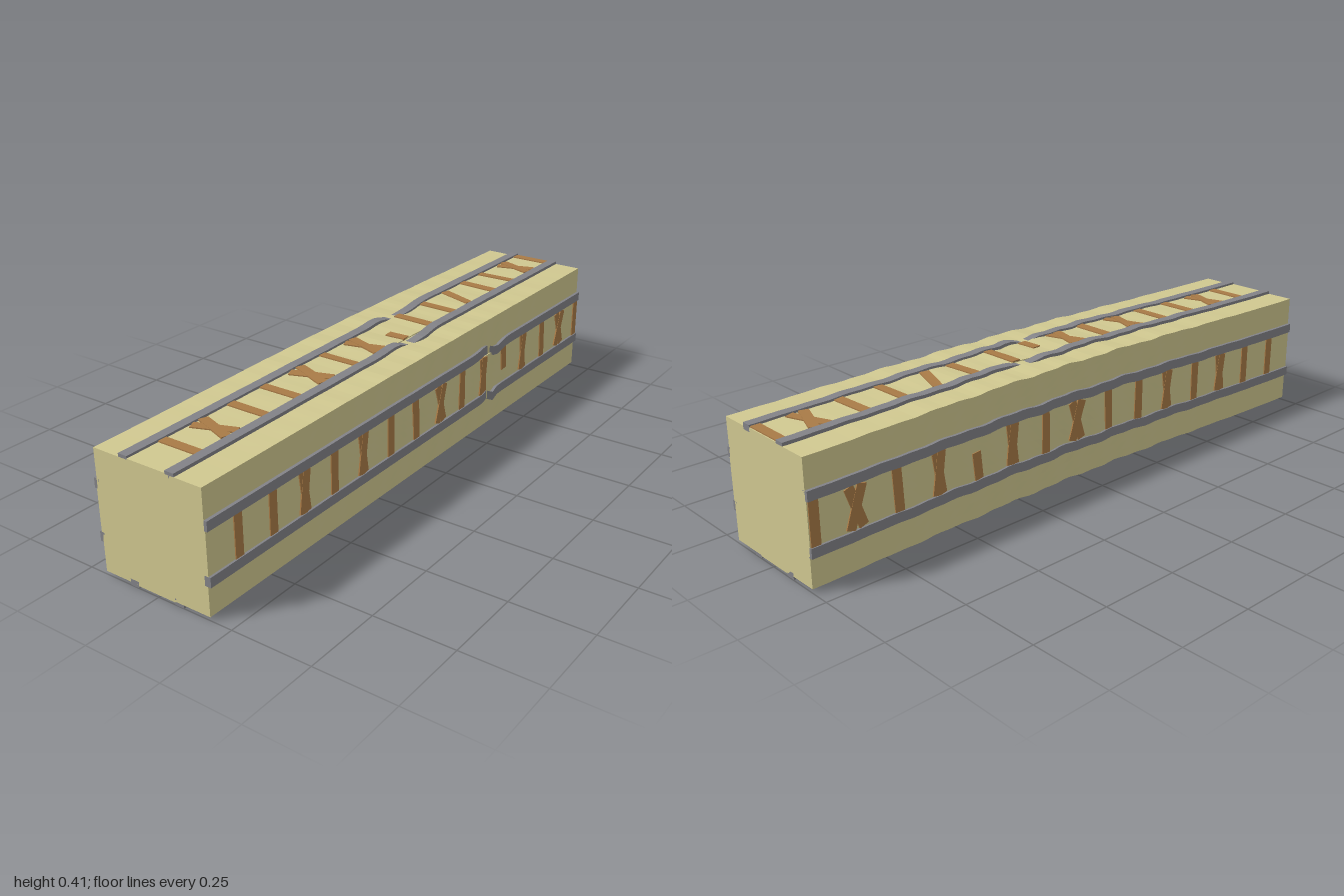
import * as THREE from 'three';

const CX = -0.005, CY = 0.195, HALF = 0.185;
const mat = (color) => new THREE.MeshStandardMaterial({ color, flatShading: true, side: THREE.DoubleSide });
const bump = (z, c, w) => Math.exp(-(((z - c) / w) ** 2));

// Move every vertex of a geometry by a rule
function deform(geo, rule) {
  const p = geo.attributes.position, v = new THREE.Vector3();
  for (let i = 0; i < p.count; i++) {
    rule(v.fromBufferAttribute(p, i));
    p.setXYZ(i, v.x, v.y, v.z);
  }
  geo.computeVertexNormals();
  return geo;
}

// Heave of the whole beam: straight at the ends, crumpled around the middle
function heave(v) {
  const w = Math.max(0, Math.cos((v.z + 0.08) * 1.5)) ** 1.5;
  const ripple = 0.0015 * Math.sin(v.z * 27 + v.x * 12) + 0.0012 * Math.sin(v.z * 61 + v.y * 17);
  v.x += w * (0.008 + ripple);
  v.y += w * (0.013 - 0.018 * v.x + ripple);
}

// Tie layout along z: [z, tilt, crossed, start, end]; start and end are across the track
const flatTies = [
  [-0.982, 0], [-0.86, 0.35, true], [-0.72, 0.04], [-0.59, 0], [-0.45, -0.35], [-0.33, 0.04],
  [-0.18, 0], [-0.04, 0.06, false, 0, 0.065], [0.085, 0.3, true], [0.21, 0], [0.345, 0.35, true],
  [0.48, 0], [0.615, 0], [0.75, 0.35, true], [0.875, 0],
];
const sideTies = [
  [-0.982, 0], [-0.855, 0.33, true], [-0.72, 0.05], [-0.58, 0.15, true], [-0.445, 0.1, false, -0.065, 0.02],
  [-0.31, 0.12, true], [-0.18, 0], [-0.05, 0.3, true], [0.086, 0.05], [0.22, 0], [0.355, 0.15, true],
  [0.49, 0], [0.62, 0.14, true], [0.75, 0], [0.885, 0],
];

// Four faces: rotation about z, ties, and broken spots of each rail
const faces = [
  { name: 'top', turn: 0, ties: flatTies, breaks: [[-0.17, 0.07], [-0.02, 0.06]] },
  { name: 'left', turn: -Math.PI / 2, ties: sideTies, breaks: [[-0.35, 0.04], [-0.35, 0.02]] },
  { name: 'bottom', turn: Math.PI, ties: flatTies, breaks: [null, null] },
  { name: 'right', turn: Math.PI / 2, ties: sideTies, breaks: [null, null] },
];

export function createModel() {
  const group = new THREE.Group();
  const sand = mat(0xd0c890), steel = mat(0x828287), wood = mat(0xa87a46);

  // Beam of ground
  const beam = new THREE.BoxGeometry(HALF * 2, HALF * 2, 2, 14, 14, 80).translate(CX, CY, 0);
  const body = new THREE.Mesh(deform(beam, heave), sand);
  body.name = 'beam';
  group.add(body);

  for (const face of faces) {
    const track = new THREE.Group();
    track.name = face.name + 'Track';
    // Place a part built on the face plane, then apply the heave
    const add = (geo, material, name) => {
      geo.translate(0, HALF, 0).rotateZ(face.turn).translate(CX, CY, 0);
      const mesh = new THREE.Mesh(deform(geo, heave), material);
      mesh.name = name;
      track.add(mesh);
    };

    // Thin bed between the rails
    add(new THREE.BoxGeometry(0.13, 0.006, 2, 5, 1, 80), sand, 'trackBed');

    // Rails, bent sideways and buried where the ground has broken
    [-1, 1].forEach((side, i) => {
      const rail = new THREE.BoxGeometry(0.03, 0.02, 2, 1, 1, 80).translate(side * 0.08, 0, 0);
      const spot = face.breaks[i];
      if (spot) deform(rail, (v) => {
        v.x += 0.014 * bump(v.z, spot[0] - spot[1], spot[1]) - 0.008 * bump(v.z, spot[0] + spot[1], spot[1]);
        v.y -= 0.012 * bump(v.z, spot[0], spot[1] * 0.6);
      });
      add(rail, steel, 'rail');
    });

    // Ties, some crossed, some tilted or snapped
    for (const [z, tilt, crossed, start = -0.065, end = 0.065] of face.ties) {
      for (const dir of crossed ? [1, -1] : [1]) {
        const height = dir > 0 ? 0.013 : 0.015;
        const tie = new THREE.BoxGeometry(end - start, height, 0.03, 6, 1, 2)
          .translate((start + end) / 2, 0, 0).rotateY(dir * tilt).translate(0, 0, z);
        add(tie, wood, 'tie');
      }
    }
    group.add(track);
  }
  return group;
}
